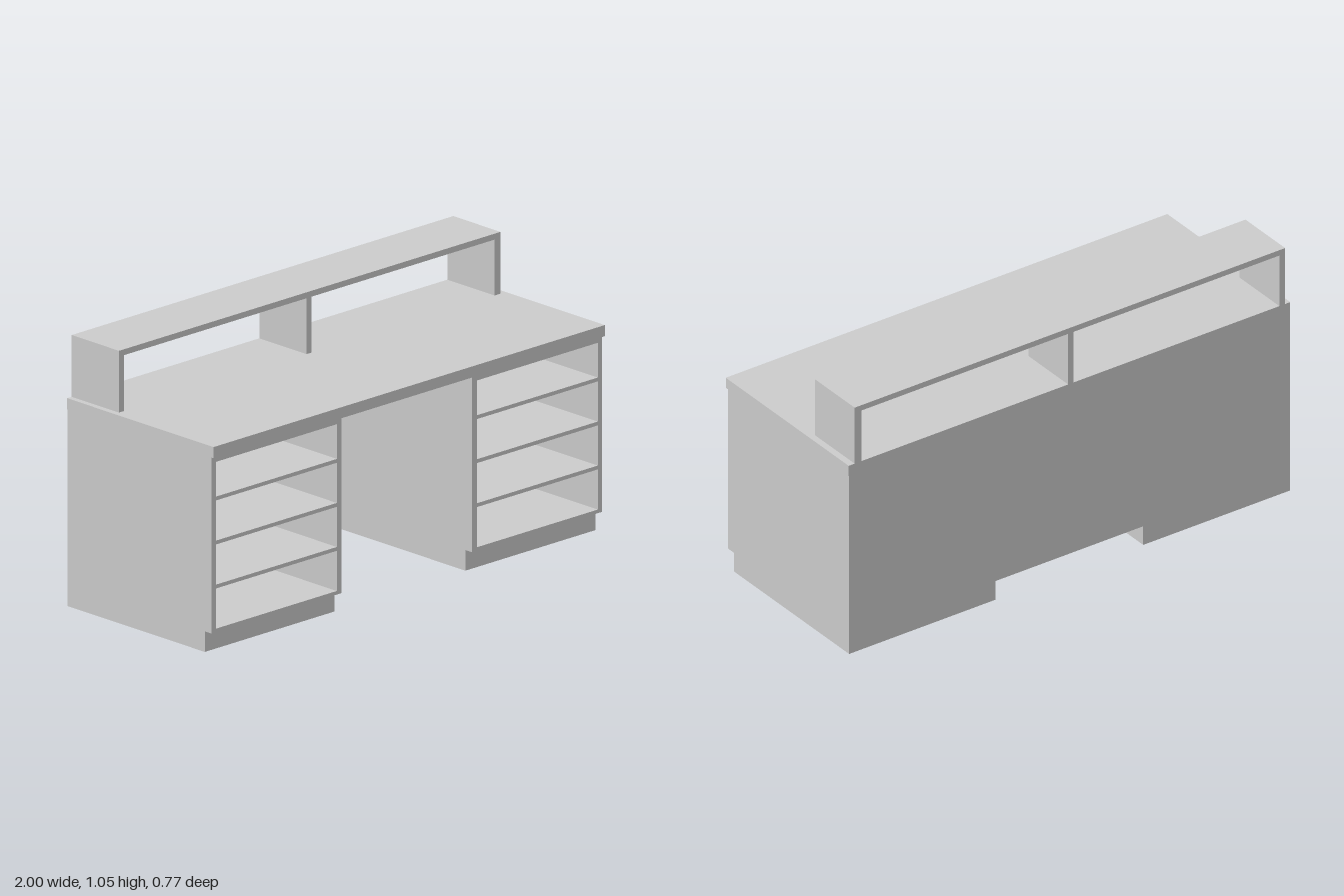
import * as THREE from 'three';

const material = new THREE.MeshStandardMaterial({ color: 0xcccccc, flatShading: true });
const BACK = -0.387, FRONT = 0.375, BACK_PANEL = 0.02;

// Box given by its lower and upper limits on each axis
function box(name, [x0, x1], [y0, y1], [z0, z1]) {
  const mesh = new THREE.Mesh(new THREE.BoxGeometry(x1 - x0, y1 - y0, z1 - z0), material);
  mesh.position.set((x0 + x1) / 2, (y0 + y1) / 2, (z0 + z1) / 2);
  mesh.name = name;
  return mesh;
}

// Rectangle outline for shapes and holes
function rectangle(path, x0, x1, y0, y1) {
  path.moveTo(x0, y0);
  path.lineTo(x1, y0);
  path.lineTo(x1, y1);
  path.lineTo(x0, y1);
  path.closePath();
  return path;
}

// Pedestal: a case with four open compartments on a recessed plinth
function pedestal(side) {
  const group = new THREE.Group();
  group.name = side > 0 ? 'leftPedestal' : 'rightPedestal';
  const span = (a, b) => (side > 0 ? [a, b] : [-b, -a]);
  const outer = span(0.334, 0.998), inner = span(0.358, 0.976);

  const face = rectangle(new THREE.Shape(), ...outer, 0.08, 0.765);
  const rows = [[0.094, 0.25], [0.265, 0.421], [0.436, 0.592], [0.607, 0.742]];
  for (const [y0, y1] of rows) face.holes.push(rectangle(new THREE.Path(), ...inner, y0, y1));

  const z0 = BACK + BACK_PANEL;
  const shell = new THREE.Mesh(
    new THREE.ExtrudeGeometry(face, { depth: FRONT - z0, bevelEnabled: false }), material);
  shell.position.z = z0;
  shell.name = 'compartmentCase';

  group.add(
    shell,
    box('casePanelBack', outer, [0.08, 0.765], [BACK, z0]),
    box('plinth', outer, [0, 0.08], [BACK, 0.339]),
  );
  return group;
}

export function createModel() {
  const desk = new THREE.Group();
  desk.name = 'desk';

  // Main body
  desk.add(
    box('desktop', [-1, 1], [0.765, 0.808], [BACK, 0.387]),
    pedestal(1),
    pedestal(-1),
    box('modestyPanel', [-0.334, 0.334], [0.08, 0.765], [BACK, BACK + BACK_PANEL]),
  );

  // Raised shelf along the back edge
  const shelf = new THREE.Group();
  shelf.name = 'raisedShelf';
  const depth = [BACK, -0.137];
  shelf.add(box('shelfTop', [-0.977, 0.973], [1.025, 1.048], depth));
  const supports = { rightSupport: [-0.977, -0.951], middleSupport: [-0.018, 0.006], leftSupport: [0.943, 0.973] };
  for (const [name, x] of Object.entries(supports)) shelf.add(box(name, x, [0.808, 1.025], depth));
  desk.add(shelf);

  return desk;
}
